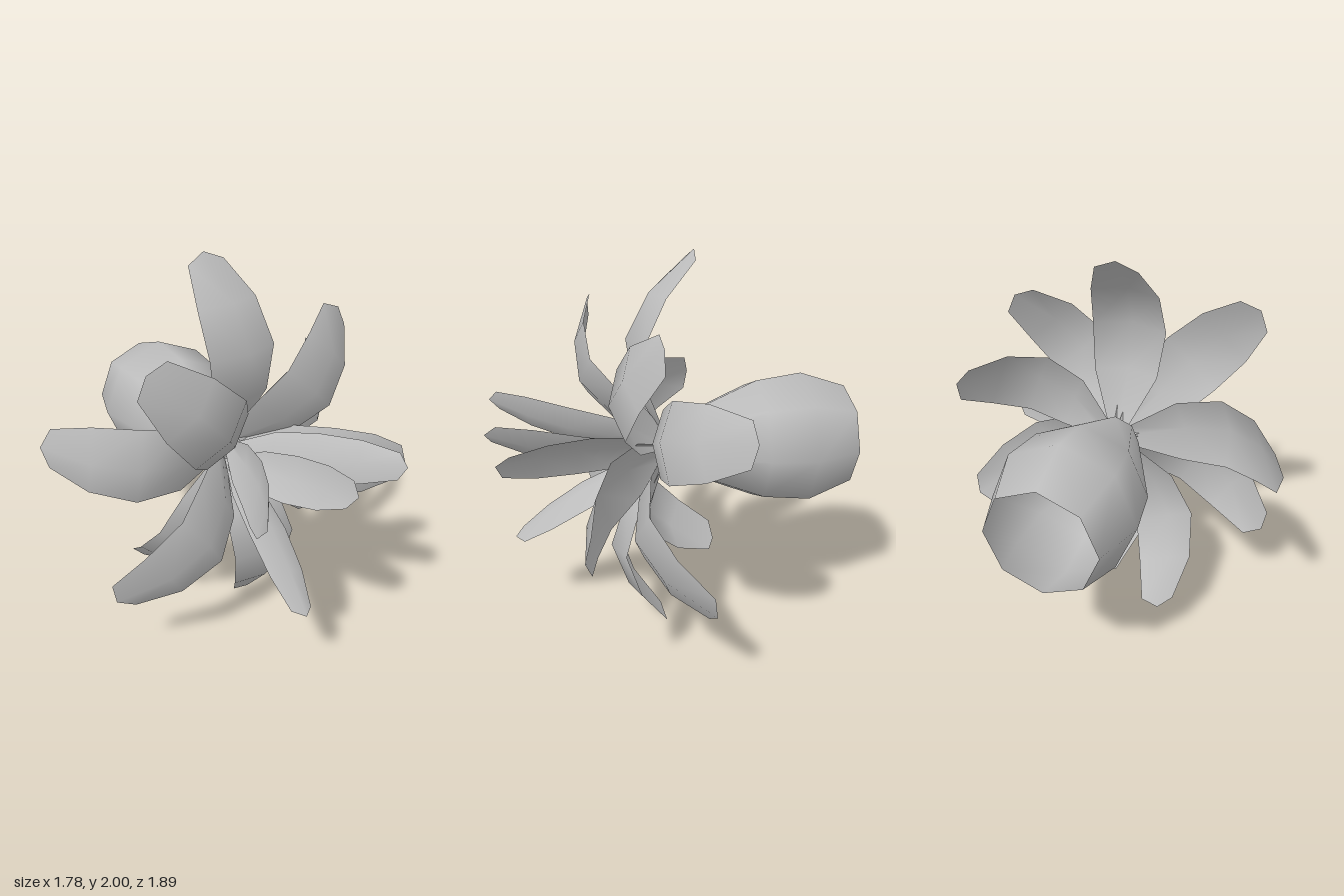
import * as THREE from 'three';

const grey = new THREE.MeshStandardMaterial({ color: 0xbcbcbc, side: THREE.DoubleSide });
grey.name = 'plain grey';

const ROWS = [0, 0.25, 0.5, 0.75, 0.95]; // position along the petal
const HALF = [0.26, 0.87, 1, 0.89, 0.54]; // half-width at each row, relative

// A bowed petal, three points across, with its edges folded back from the face
function petal(name, base, tip, face, width, bulge) {
  const start = new THREE.Vector3(...base);
  const end = new THREE.Vector3(...tip);
  const dir = end.clone().sub(start).normalize();
  const n = new THREE.Vector3(...face);
  n.addScaledVector(dir, -n.dot(dir)).normalize();
  const across = new THREE.Vector3().crossVectors(dir, n).normalize();
  const pos = [], index = [];
  ROWS.forEach((t, i) => {
    for (let c = -1; c <= 1; c++) {
      const s = c === 0 && i === ROWS.length - 1 ? 1 : t; // pointed end
      const lift = bulge * Math.sin(Math.PI * s) - Math.abs(c) * HALF[i] * width * 0.15;
      const p = start.clone().lerp(end, s)
        .addScaledVector(n, lift)
        .addScaledVector(across, c * HALF[i] * width / 2);
      pos.push(p.x, p.y, p.z);
    }
    if (i === 0) return;
    for (let c = 0; c < 2; c++) {
      const a = (i - 1) * 3 + c, b = a + 3;
      index.push(a, a + 1, b, a + 1, b + 1, b);
    }
  });
  const geo = new THREE.BufferGeometry();
  geo.setAttribute('position', new THREE.Float32BufferAttribute(pos, 3));
  geo.setIndex(index);
  geo.computeVertexNormals();
  const mesh = new THREE.Mesh(geo, grey);
  mesh.name = name;
  return mesh;
}

export function createModel() {
  const group = new THREE.Group();
  group.name = 'flower';

  // Flower tube: eight sides, open at both ends
  const profile = [[0.13, 0], [0.33, 0.46], [0.36, 0.7], [0.275, 0.95]]
    .map(([r, h]) => new THREE.Vector2(r, h));
  const tube = new THREE.Mesh(new THREE.LatheGeometry(profile, 8).rotateX(-Math.PI / 2), grey);
  tube.position.set(0.03, 1, 0);
  tube.name = 'flowerTube';
  group.add(tube);

  // Outer petals, rooted in a ring and curling back: tip, bow and facing
  const outer = [
    [[-0.02, 2.0, -0.13], 0.27, [0.05, 0, 1]],
    [[0.64, 1.68, 0.13], 0.26, [0, 0, 1]],
    [[0.82, 1.3, -0.24], 0.25, [0, 0.12, 1]],
    [[0.88, 0.84, 0.51], 0.15, [0, 0, 1]],
    [[0.87, 0.49, -0.07], 0.27, [0, 0, 1]],
    [[0.16, 0.0, 0.04], 0.29, [0, 0, 1]],
    [[-0.33, 0.2, -0.34], 0.28, [-0.2, 0, 1]],
    [[-0.77, 0.44, 0.21], 0.3, [0, 0, 1]],
    [[-0.89, 1.13, -0.28], 0.28, [0, 0, 1]],
    [[-0.62, 1.67, 0.36], 0.26, [0, 0, 1]],
  ];
  outer.forEach(([tip, bow, face], i) => {
    const a = Math.atan2(tip[1] - 1, tip[0] - 0.03);
    const base = [0.03 + 0.06 * Math.cos(a), 1 + 0.06 * Math.sin(a), 0.04];
    group.add(petal('outerPetal' + (i + 1), base, tip, face, 0.39, bow));
  });

  // Narrow inner petals, reaching forward: base, tip, facing and bow
  const inner = [
    [[0.01, 1.02, 0.05], [-0.42, 1.16, 0.94], [0.9, -0.4, 0], 0.07],
    [[0.05, 0.99, 0.05], [0.46, 1.13, 0.87], [-1, 0.35, 0], 0.04],
    [[-0.01, 0.93, 0.08], [0.08, 1.14, 0.94], [0.8, -0.55, 0], 0.06],
    [[0.02, 0.94, 0.05], [-0.08, 0.47, 0.84], [0.25, 1, 0], 0.05],
  ];
  inner.forEach(([base, tip, face, bow], i) =>
    group.add(petal('innerPetal' + (i + 1), base, tip, face, 0.24, bow)));

  return group;
}
